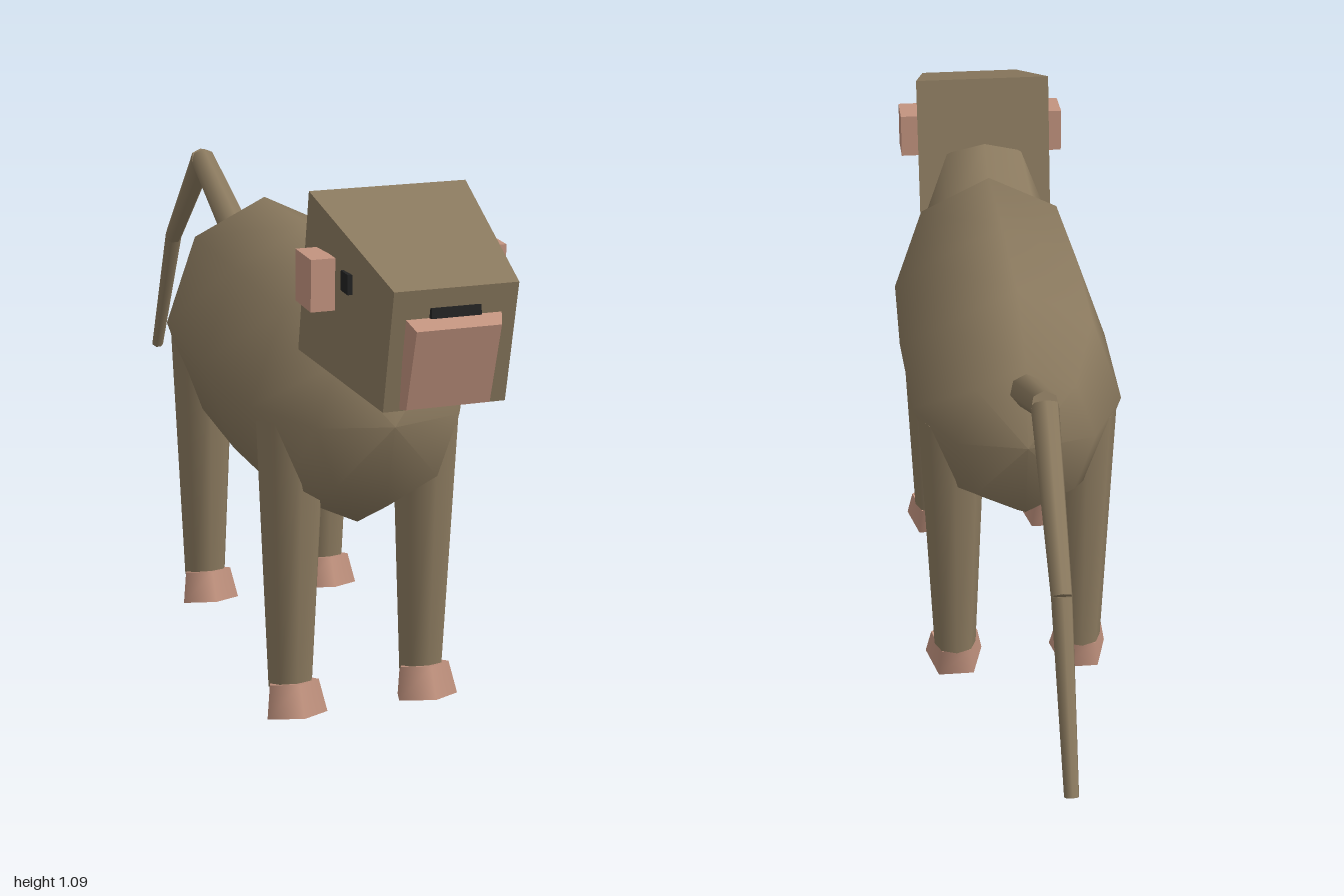
import * as THREE from 'three';

export function createModel() {
  const model = new THREE.Group();
  const material = (name, color) => {
    const m = new THREE.MeshStandardMaterial({ color });
    m.name = name;
    return m;
  };
  const fur = material('brown fur', 0x8b7a5f);
  const skin = material('pink skin', 0xc2937f);
  const dark = material('dark features', 0x222222);

  const add = (name, geometry, mat, x = 0, y = 0, z = 0) => {
    const mesh = new THREE.Mesh(geometry, mat);
    mesh.name = name;
    mesh.position.set(x, y, z);
    model.add(mesh);
    return mesh;
  };

  // Tapered limb between two points in the (y, z) plane
  const limb = (name, x, [y0, z0], r0, [y1, z1], r1, sides, mat) => {
    const a = new THREE.Vector3(x, y0, z0);
    const b = new THREE.Vector3(x, y1, z1);
    const dir = b.clone().sub(a);
    const mesh = add(name, new THREE.CylinderGeometry(r1, r0, dir.length(), sides), mat);
    mesh.position.copy(a).add(b).multiplyScalar(0.5);
    mesh.quaternion.setFromUnitVectors(new THREE.Vector3(0, 1, 0), dir.normalize());
    return mesh;
  };

  // Box whose back and front faces are given as [half width, top y, top z, bottom y, bottom z]
  const wedge = (back, front) => {
    const g = new THREE.BoxGeometry(2, 2, 2);
    const p = g.attributes.position;
    for (let i = 0; i < p.count; i++) {
      const [w, ty, tz, by, bz] = p.getZ(i) > 0 ? front : back;
      const top = p.getY(i) > 0;
      p.setXYZ(i, p.getX(i) * w, top ? ty : by, top ? tz : bz);
    }
    g.computeVertexNormals();
    return g;
  };

  // Body: smooth eight-sided barrel lying along z
  const profile = [[0, -0.495], [0.63, -0.457], [0.965, -0.297], [1, 0],
    [0.965, 0.297], [0.63, 0.457], [0, 0.495]].map(([r, h]) => new THREE.Vector2(r, h));
  const barrel = new THREE.LatheGeometry(profile, 8);
  barrel.rotateX(Math.PI / 2).scale(0.225, 0.267, 1);
  add('body', barrel, fur, 0, 0.656, 0.212);

  // Neck and head
  limb('neck', 0, [0.74, 0.518], 0.15, [0.865, 0.675], 0.12, 8, fur);
  add('head', wedge([0.15, 1.097, 0.65, 0.787, 0.593], [0.113, 0.995, 0.985, 0.77, 0.94]), fur);
  add('muzzle', wedge([0.102, 0.965, 0.935, 0.764, 0.893], [0.077, 0.927, 1.0, 0.776, 0.957]), skin);
  const nose = add('nose', new THREE.BoxGeometry(0.09, 0.018, 0.016), dark, 0, 0.951, 0.978);
  nose.rotation.x = -0.19;

  for (const side of [1, -1]) {
    const label = side > 0 ? 'left' : 'right';
    add(label + 'Eye', new THREE.BoxGeometry(0.02, 0.036, 0.036), dark, side * 0.128, 0.968, 0.807);
    add(label + 'Ear', new THREE.BoxGeometry(0.045, 0.095, 0.085), skin, side * 0.162, 0.954, 0.722);

    // Legs with tilted five-sided feet
    for (const [end, z] of [['Front', 0.511], ['Hind', -0.091]]) {
      limb(label + end + 'Leg', side * 0.137, [0.075, z], 0.045, [0.64, z], 0.07, 8, fur);
      const foot = add(label + end + 'Foot', new THREE.CylinderGeometry(0.053, 0.065, 0.065, 5),
        skin, side * 0.137, 0.053, z + 0.018);
      foot.rotation.x = -0.27;
    }
  }

  // Tail: three tapering segments
  const joints = [[0.75, -0.2, 0.035], [0.9, -0.555, 0.027], [0.652, -0.822, 0.02], [0.332, -0.988, 0.014]];
  for (let i = 0; i < 3; i++) {
    const [y0, z0, r0] = joints[i];
    const [y1, z1, r1] = joints[i + 1];
    limb('tailSegment' + (i + 1), 0, [y0, z0], r0, [y1, z1], r1, 7, fur);
  }

  return model;
}
